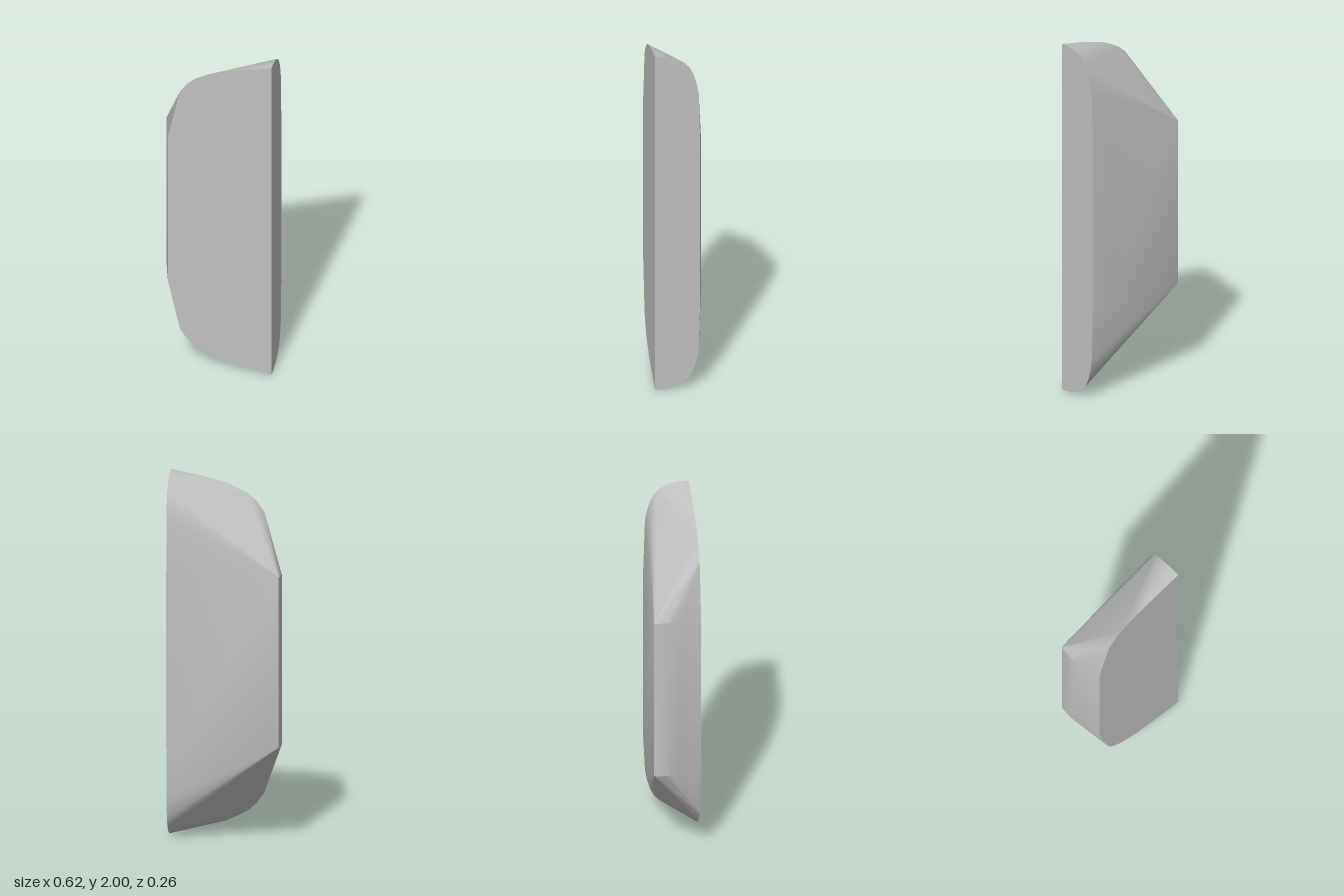
import * as THREE from 'three';
import { toCreasedNormals } from 'three/addons/utils/BufferGeometryUtils.js';
import { ConvexGeometry } from 'three/addons/geometries/ConvexGeometry.js';

export function createModel() {
  const group = new THREE.Group();
  const grey = new THREE.MeshStandardMaterial({ color: 0xc0c0c0 });
  grey.name = 'plain grey';

  // Upper half of the flat front outline, as x and y
  const front = [[0.31, 2], [0.17, 1.972], [0.02, 1.935], [-0.05, 1.905], [-0.11, 1.872],
    [-0.155, 1.832], [-0.195, 1.775], [-0.262, 1.47]];
  // Upper half of the flat side outline, as z and y
  const side = [[0.08, 1.999], [0.05, 1.994], [0.015, 1.982], [-0.025, 1.962], [-0.055, 1.933],
    [-0.078, 1.89], [-0.095, 1.835], [-0.107, 1.77], [-0.115, 1.47]];
  // Upper corners of the back plane and the bevelled outer edge
  const back = [[0.21, 1.47, -0.13], [-0.302, 1.47, -0.13],
    [-0.307, 1.47, -0.115], [-0.31, 1.47, -0.05], [-0.295, 1.47, 0.012]];

  const upper = [
    ...front.map(([x, y]) => [x, y, 0.13]),
    ...side.map(([z, y]) => [0.31, y, z]),
    ...back,
  ];

  // Mirror top to bottom and wrap as one convex shell
  const points = upper.flatMap(([x, y, z]) => [
    new THREE.Vector3(x, y, z), new THREE.Vector3(x, 2 - y, z),
  ]);
  const shell = new THREE.Mesh(toCreasedNormals(new ConvexGeometry(points), 0.35), grey);
  shell.name = 'bevelledShell';
  group.add(shell);
  return group;
}
